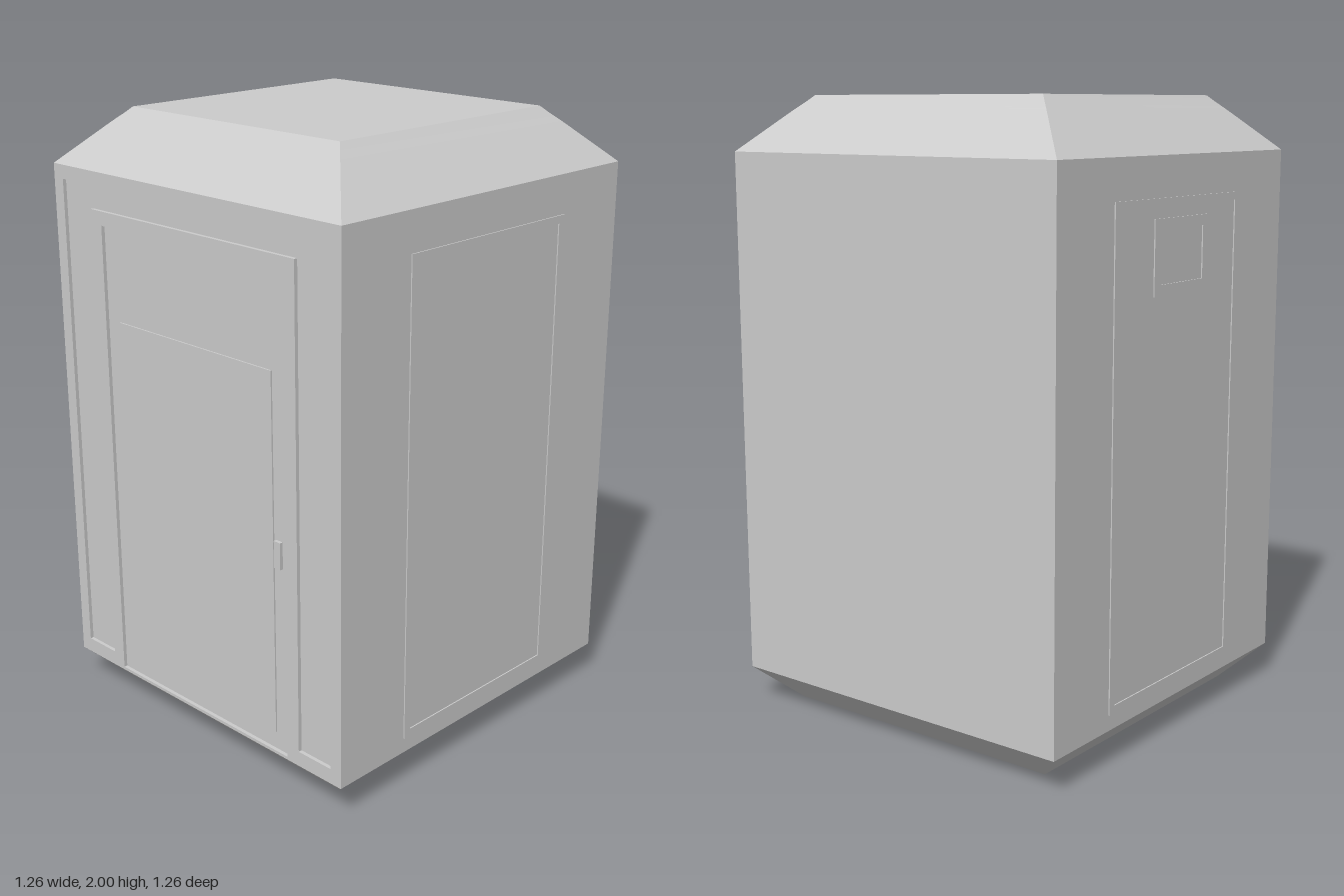
import * as THREE from 'three';
import { toCreasedNormals } from 'three/addons/utils/BufferGeometryUtils.js';

const HALF = 0.628, FLOOR = 0.115, EAVES = 1.825, RECESS = 0.012;

export function createModel() {
  const group = new THREE.Group();
  const material = new THREE.MeshStandardMaterial({ color: 0xcccccc });

  const add = (name, geometry, parent = group) => {
    const mesh = new THREE.Mesh(geometry, material);
    mesh.name = name;
    parent.add(mesh);
    return mesh;
  };

  // Box given by its limits
  const box = (x0, x1, y0, y1, z0, z1) =>
    new THREE.BoxGeometry(x1 - x0, y1 - y0, z1 - z0)
      .translate((x0 + x1) / 2, (y0 + y1) / 2, (z0 + z1) / 2);

  // Closed outline from corner pairs
  const outline = (pts, Type = THREE.Path) =>
    new Type(pts.map(([x, y]) => new THREE.Vector2(x, y)));
  const rect = (x0, x1, y0, y1) => [[x0, y0], [x1, y0], [x1, y1], [x0, y1]];

  // Plate with openings, standing in the xy plane
  const plate = (outer, holes, depth) => {
    const shape = outline(outer, THREE.Shape);
    shape.holes = holes.map((h) => outline(h));
    return new THREE.ExtrudeGeometry(shape, { depth, bevelEnabled: false });
  };

  // Square solid from a profile of half widths and heights
  const squareLoft = (profile) => {
    const pts = profile.map(([r, y]) => new THREE.Vector2(r * Math.SQRT2, y));
    const geo = new THREE.LatheGeometry(pts, 4, Math.PI / 4);
    return toCreasedNormals(geo, 0.4);
  };

  // Tapered base and roof with a softly rounded shoulder
  add('base', squareLoft([[0, 0], [0.508, 0], [HALF, FLOOR]]));
  add('roof', squareLoft([
    [HALF, EAVES], [0.51, 1.94], [0.488, 1.961], [0.467, 1.98], [0.447, 2], [0, 2],
  ]));

  // Cabin, with a front wall pierced by the arch groove and the doorway
  add('cabin', box(-HALF, HALF, FLOOR, EAVES, -HALF, HALF - RECESS));
  const arch = [
    [-0.585, 0.165], [-0.45, 0.165], [-0.45, 1.705], [0.45, 1.705],
    [0.45, 0.165], [0.585, 0.165], [0.585, 1.78], [-0.585, 1.78],
  ];
  add('frontWall', plate(rect(-HALF, HALF, FLOOR, EAVES),
    [arch, rect(-0.4, 0.4, 0.125, 1.66)], RECESS)
    .translate(0, 0, HALF - RECESS));

  // Door panel and handle, inside the doorway
  const door = new THREE.Group();
  door.name = 'door';
  group.add(door);
  add('doorPanel', box(-0.34, 0.343, 0.185, 1.36, HALF - RECESS - 0.002, HALF - 0.007), door);
  add('doorHandle', box(0.352, 0.378, 0.75, 0.837, HALF - RECESS - 0.002, HALF - 0.001), door);

  // Raised rims on both side walls
  for (const side of [1, -1]) {
    const wall = new THREE.Group();
    wall.name = side > 0 ? 'leftSidePanel' : 'rightSidePanel';
    wall.rotation.y = side * Math.PI / 2;
    group.add(wall);
    const rim = (name, x0, x1, y0, y1, w) =>
      add(name, plate(rect(x0, x1, y0, y1),
        [rect(x0 + w, x1 - w, y0 + w, y1 - w)], 0.006)
        .translate(0, 0, HALF - 0.002), wall);
    rim('panelRim', -0.35, 0.35, 0.165, 1.7, 0.025);
    // Vent window, on the right side only
    if (side < 0) rim('ventRim', -0.14, 0.165, 1.41, 1.64, 0.033);
  }
  return group;
}
